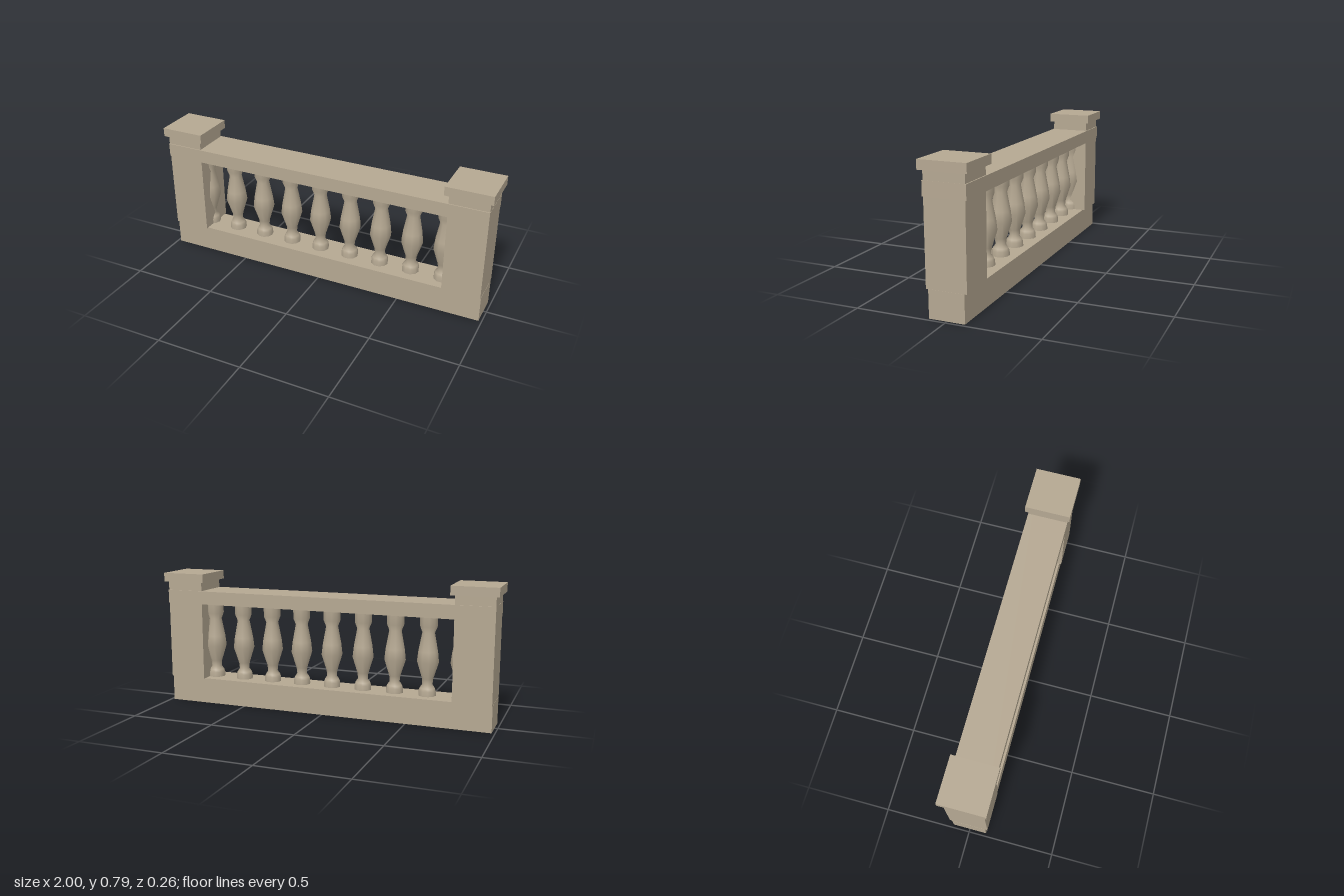
import * as THREE from 'three';

export function createModel() {
  const group = new THREE.Group();
  const stone = new THREE.MeshStandardMaterial({ color: 0xb5a892 });
  stone.name = 'stone';

  // Box given by its x and y ranges and half depth
  function block(name, x0, x1, y0, y1, halfDepth) {
    const mesh = new THREE.Mesh(new THREE.BoxGeometry(x1 - x0, y1 - y0, halfDepth * 2), stone);
    mesh.position.set((x0 + x1) / 2, (y0 + y1) / 2, 0);
    mesh.name = name;
    group.add(mesh);
  }

  // Plinth and handrail run the full length
  block('plinth', -0.982, 0.982, 0, 0.152, 0.098);
  block('handrail', -0.982, 0.982, 0.61, 0.688, 0.117);

  // End posts with overhanging caps
  block('leftPost', 0.76, 0.981, 0.152, 0.742, 0.111);
  block('rightPost', -0.981, -0.763, 0.152, 0.742, 0.111);
  block('leftCap', 0.738, 1, 0.74, 0.791, 0.131);
  block('rightCap', -1, -0.741, 0.74, 0.791, 0.131);

  // Turned balusters; the outermost are partly sunk into the posts
  const profile = [
    [0.05, 0.15], [0.049, 0.18], [0.043, 0.195], [0.029, 0.215], [0.033, 0.25],
    [0.063, 0.345], [0.056, 0.405], [0.036, 0.51], [0.05, 0.545], [0.051, 0.611],
  ].map(([r, y]) => new THREE.Vector2(r, y));
  const balusterGeometry = new THREE.LatheGeometry(profile, 10);
  for (let i = 0; i < 9; i++) {
    const baluster = new THREE.Mesh(balusterGeometry, stone);
    baluster.name = `baluster${i + 1}`;
    baluster.position.x = -0.79 + i * 0.19;
    baluster.rotation.y = Math.PI / 10;
    group.add(baluster);
  }
  return group;
}
